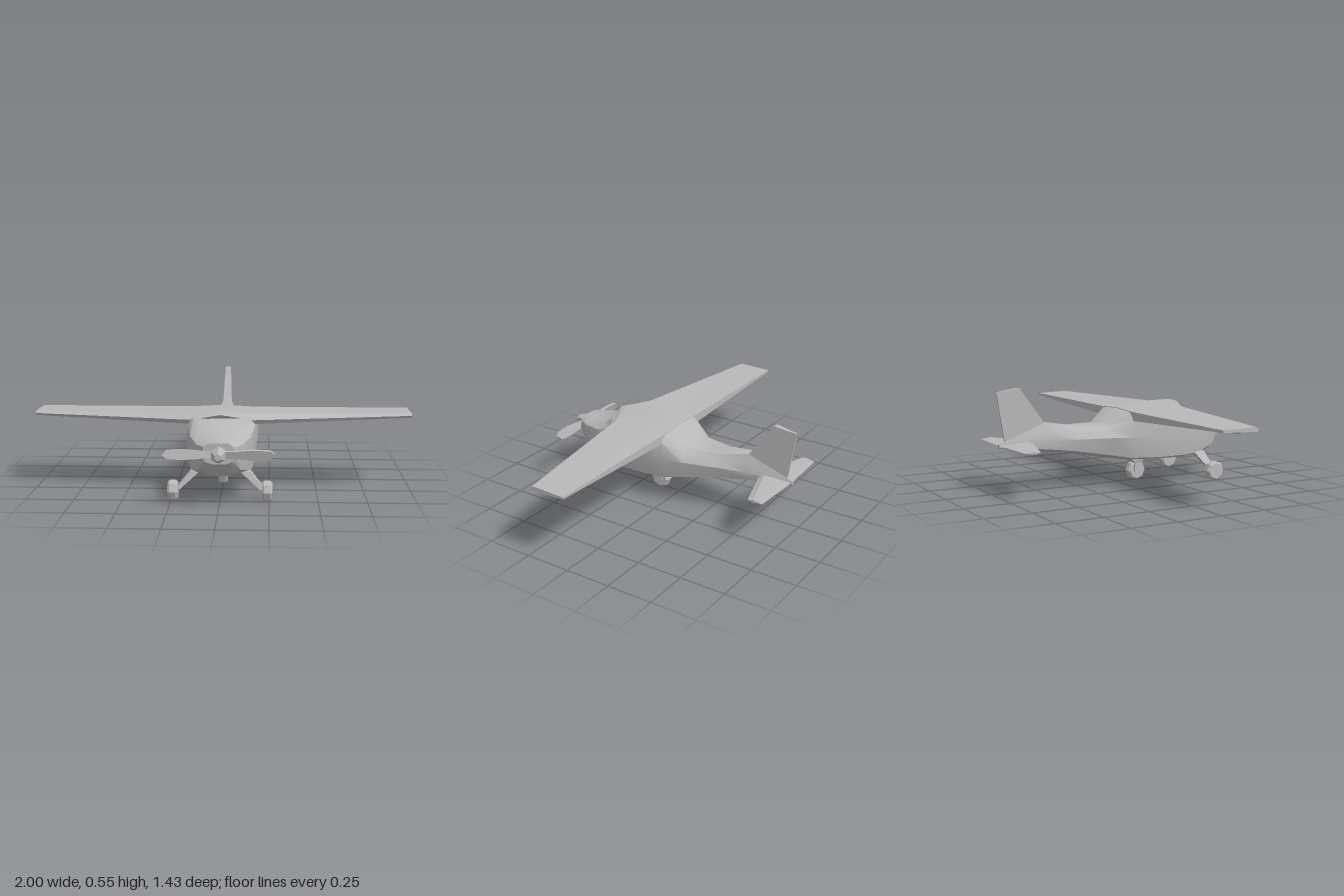
import * as THREE from 'three';
import { toCreasedNormals } from 'three/addons/utils/BufferGeometryUtils.js';

const paint = new THREE.MeshStandardMaterial({ color: 0xb8b8b8 });
paint.name = 'plain grey';

const V = (x, y, z) => new THREE.Vector3(x, y, z);

// Skin a series of equal-length rings, cap both ends and face it outward.
function loft(rings) {
  const n = rings[0].length;
  const tris = [];
  for (let i = 0; i < rings.length - 1; i++) {
    for (let j = 0; j < n; j++) {
      const k = (j + 1) % n;
      const a = rings[i][j], b = rings[i][k], c = rings[i + 1][k], d = rings[i + 1][j];
      tris.push([a, b, c], [a, c, d]);
    }
  }
  const first = rings[0], last = rings[rings.length - 1];
  for (let j = 1; j < n - 1; j++) {
    tris.push([first[0], first[j + 1], first[j]], [last[0], last[j], last[j + 1]]);
  }
  // Negative enclosed volume means the winding is inside out.
  const centre = first[0];
  let volume = 0;
  for (const [a, b, c] of tris) {
    volume += a.clone().sub(centre).dot(b.clone().sub(centre).cross(c.clone().sub(centre)));
  }
  const points = tris.flatMap(([a, b, c]) => (volume < 0 ? [a, c, b] : [a, b, c]));
  return new THREE.BufferGeometry().setFromPoints(points);
}

function part(name, geometry, crease = 0.6) {
  const mesh = new THREE.Mesh(toCreasedNormals(geometry, crease), paint);
  mesh.name = name;
  return mesh;
}

// Fuselage station: half outline from roof centre to belly, then mirrored.
function station(z, top, half) {
  const belly = half[half.length - 1][1];
  return [
    V(0, top, z),
    ...half.map(([x, y]) => V(x, y, z)),
    V(0, belly, z),
    ...half.map(([x, y]) => V(-x, y, z)).reverse(),
  ];
}

function fuselage() {
  return part('fuselage', loft([
    station(0.63, 0.33, [[0.05, 0.328], [0.075, 0.31], [0.082, 0.27], [0.07, 0.235], [0.03, 0.222]]),
    station(0.565, 0.337, [[0.07, 0.334], [0.115, 0.31], [0.123, 0.265], [0.11, 0.18], [0.06, 0.15]]),
    station(0.44, 0.354, [[0.105, 0.35], [0.155, 0.325], [0.165, 0.27], [0.15, 0.15], [0.1, 0.13]]),
    station(0.35, 0.42, [[0.145, 0.41], [0.175, 0.37], [0.18, 0.27], [0.165, 0.145], [0.11, 0.126]]),
    station(0.18, 0.416, [[0.145, 0.408], [0.178, 0.37], [0.187, 0.27], [0.167, 0.145], [0.11, 0.128]]),
    station(0, 0.412, [[0.145, 0.403], [0.178, 0.37], [0.19, 0.27], [0.165, 0.155], [0.1, 0.138]]),
    station(-0.115, 0.335, [[0.09, 0.33], [0.128, 0.305], [0.155, 0.27], [0.13, 0.175], [0.07, 0.153]]),
    station(-0.3, 0.338, [[0.055, 0.332], [0.08, 0.305], [0.1, 0.268], [0.085, 0.205], [0.04, 0.187]]),
    station(-0.45, 0.363, [[0.027, 0.36], [0.04, 0.31], [0.057, 0.265], [0.05, 0.222], [0.02, 0.207]]),
    station(-0.705, 0.262, [[0.005, 0.26], [0.007, 0.256], [0.008, 0.25], [0.007, 0.242], [0.004, 0.238]]),
  ]));
}

// Each wing rib: leading edge, upper front, trailing top, trailing bottom, lower front.
function wing() {
  const rib = (x, pts) => pts.map(([z, y]) => V(x, y, z));
  const tip = [[0.208, 0.398], [0.19, 0.41], [0, 0.406], [0, 0.394], [0.198, 0.386]];
  const root = [[0.34, 0.392], [0.31, 0.42], [0, 0.406], [0, 0.358], [0.33, 0.37]];
  const middle = [[0.397, 0.428], [0.345, 0.443], [0, 0.415], [0, 0.36], [0.36, 0.4]];
  return part('wing', loft([
    rib(-1, tip), rib(-0.17, root), rib(0, middle), rib(0.17, root), rib(1, tip),
  ]));
}

function fin() {
  const ring = (front, back, w, t) => [
    V(w, front[1], front[0]), V(-w, front[1], front[0]),
    V(-t, back[1], back[0]), V(t, back[1], back[0]),
  ];
  return part('fin', loft([
    ring([-0.45, 0.355], [-0.67, 0.255], 0.026, 0.006),
    ring([-0.59, 0.55], [-0.715, 0.533], 0.016, 0.005),
  ]));
}

function tailplane() {
  const ring = (x, front, back, y, t) => [
    V(x, y, front), V(x, y + t, front - 0.03), V(x, y, back), V(x, y - t, front - 0.03),
  ];
  return part('tailplane', loft([
    ring(-0.29, -0.6, -0.685, 0.25, 0.008),
    ring(0, -0.512, -0.7, 0.252, 0.017),
    ring(0.29, -0.6, -0.685, 0.25, 0.008),
  ]));
}

function propeller() {
  const group = new THREE.Group();
  group.name = 'propeller';
  const outline = new THREE.Shape([
    [0, -0.016], [0.08, -0.02], [0.17, -0.028], [0.255, -0.024],
    [0.28, 0.004], [0.255, 0.024], [0.17, 0.028], [0.08, 0.02], [0, 0.016],
  ].map(([x, y]) => new THREE.Vector2(x, y)));
  for (const turn of [0, Math.PI]) {
    const blade = new THREE.ExtrudeGeometry(outline, { depth: 0.014, bevelEnabled: false });
    blade.translate(0, 0, -0.007).rotateX(0.25).rotateZ(turn).translate(0, 0.275, 0.645);
    group.add(part('propellerBlade', blade));
  }
  const profile = [[0, 0.62], [0.04, 0.62], [0.039, 0.67], [0.018, 0.715], [0, 0.716]];
  const spinner = new THREE.LatheGeometry(profile.map(([r, y]) => new THREE.Vector2(r, y)), 6);
  spinner.rotateX(Math.PI / 2).translate(0, 0.275, 0);
  group.add(part('spinner', spinner));
  return group;
}

// Eight-sided tyre with chamfered shoulders.
function wheel(x, z) {
  const profile = [[0, -0.026], [0.045, -0.026], [0.055, -0.015], [0.055, 0.015], [0.045, 0.026], [0, 0.026]];
  const tyre = new THREE.LatheGeometry(profile.map(([r, y]) => new THREE.Vector2(r, y)), 8);
  tyre.rotateZ(Math.PI / 2).translate(x, 0.055, z);
  return part('wheel', tyre, 0.3);
}

// Tapered leg between two points, w wide across x and d deep along z.
function leg(name, from, to, [w0, d0], [w1, d1]) {
  const ring = (p, w, d) => [[1, 1], [-1, 1], [-1, -1], [1, -1]]
    .map(([i, j]) => V(p[0] + i * w / 2, p[1], p[2] + j * d / 2));
  return part(name, loft([ring(from, w0, d0), ring(to, w1, d1)]));
}

function landingGear() {
  const group = new THREE.Group();
  group.name = 'landingGear';
  for (const side of [-1, 1]) {
    group.add(wheel(side * 0.24, 0.49));
    group.add(leg('sideLeg', [side * 0.125, 0.155, 0.45], [side * 0.215, 0.065, 0.487], [0.05, 0.065], [0.026, 0.04]));
    group.add(leg('forkArm', [side * 0.031, 0.105, 0.12], [side * 0.031, 0.05, 0.12], [0.012, 0.045], [0.012, 0.04]));
  }
  group.add(wheel(0, 0.12));
  group.add(leg('forkCrown', [0, 0.135, 0.115], [0, 0.1, 0.12], [0.09, 0.1], [0.074, 0.045]));
  return group;
}

export function createModel() {
  const plane = new THREE.Group();
  plane.name = 'lightAircraft';
  plane.add(fuselage(), wing(), fin(), tailplane(), propeller(), landingGear());
  return plane;
}
